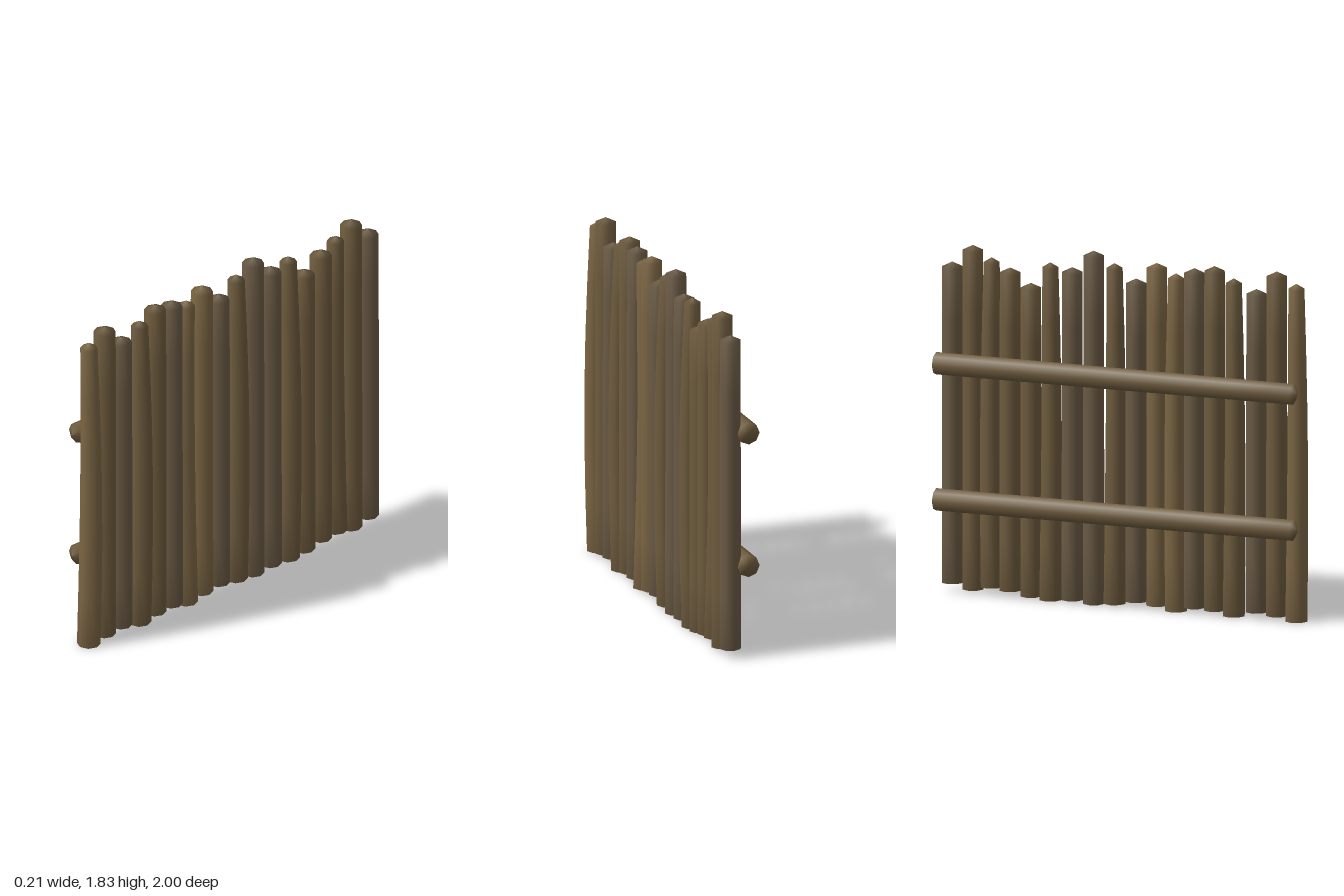
import * as THREE from 'three';

const SIDES = 8;

// A log: lathed profile with a flat foot and a low conical tip, optionally bowed along x.
function logGeometry(length, rBottom, rTop, tip, bow = 0, steps = 6) {
  const points = [new THREE.Vector2(0, 0)];
  for (let i = 0; i <= steps; i++) {
    const t = i / steps;
    points.push(new THREE.Vector2(rBottom + (rTop - rBottom) * t * t, t * (length - tip)));
  }
  points.push(new THREE.Vector2(0, length));
  const geometry = new THREE.LatheGeometry(points, SIDES);
  if (bow) {
    const p = geometry.attributes.position;
    for (let i = 0; i < p.count; i++) {
      p.setX(i, p.getX(i) + bow * Math.sin(Math.PI * p.getY(i) / length));
    }
    geometry.computeBoundingSphere();
  }
  return geometry;
}

const wood = (color) => new THREE.MeshStandardMaterial({ color });

export function createModel() {
  const group = new THREE.Group();
  group.name = 'palisadeWall';
  const woods = { warm: wood(0x7c6644), brown: wood(0x6f5c3e), grey: wood(0x6b5b45) };

  // Upright posts: z, bottom, top, wood, bow (bowed posts taper towards the tip)
  const posts = [
    [0.937, 0.00, 1.745, 'warm', 0.018],
    [0.83, 0.02, 1.80, 'brown', 0],
    [0.72, 0.03, 1.70, 'grey', 0],
    [0.595, 0.00, 1.745, 'brown', 0.018],
    [0.49, 0.02, 1.80, 'brown', 0],
    [0.38, 0.025, 1.78, 'grey', 0],
    [0.28, 0.00, 1.745, 'warm', -0.018],
    [0.175, 0.02, 1.79, 'warm', 0],
    [0.062, 0.03, 1.70, 'grey', 0],
    [-0.056, 0.01, 1.77, 'brown', 0.018],
    [-0.17, 0.00, 1.825, 'grey', 0],
    [-0.287, 0.01, 1.73, 'grey', 0],
    [-0.407, 0.00, 1.745, 'brown', 0.018],
    [-0.513, 0.01, 1.63, 'brown', 0],
    [-0.627, 0.03, 1.70, 'brown', 0],
    [-0.727, 0.04, 1.745, 'brown', -0.018],
    [-0.83, 0.02, 1.80, 'brown', 0],
    [-0.942, 0.045, 1.705, 'grey', 0],
  ];
  posts.forEach(([z, bottom, top, kind, bow], i) => {
    const rBottom = bow ? 0.06 : 0.058;
    const rTop = bow ? 0.044 : 0.056;
    const post = new THREE.Mesh(logGeometry(top - bottom, rBottom, rTop, 0.028, bow), woods[kind]);
    post.name = `post${i + 1}`;
    post.position.set(0.03, bottom, z);
    group.add(post);
  });

  // Two horizontal rails lashed along the back of the posts
  [['lowerRail', 0.485], ['upperRail', 1.19]].forEach(([name, y]) => {
    const rail = new THREE.Mesh(logGeometry(1.975, 0.058, 0.054, 0.025), woods.brown);
    rail.name = name;
    rail.rotation.x = Math.PI / 2;
    rail.position.set(-0.05, y, -0.998);
    group.add(rail);
  });

  return group;
}
